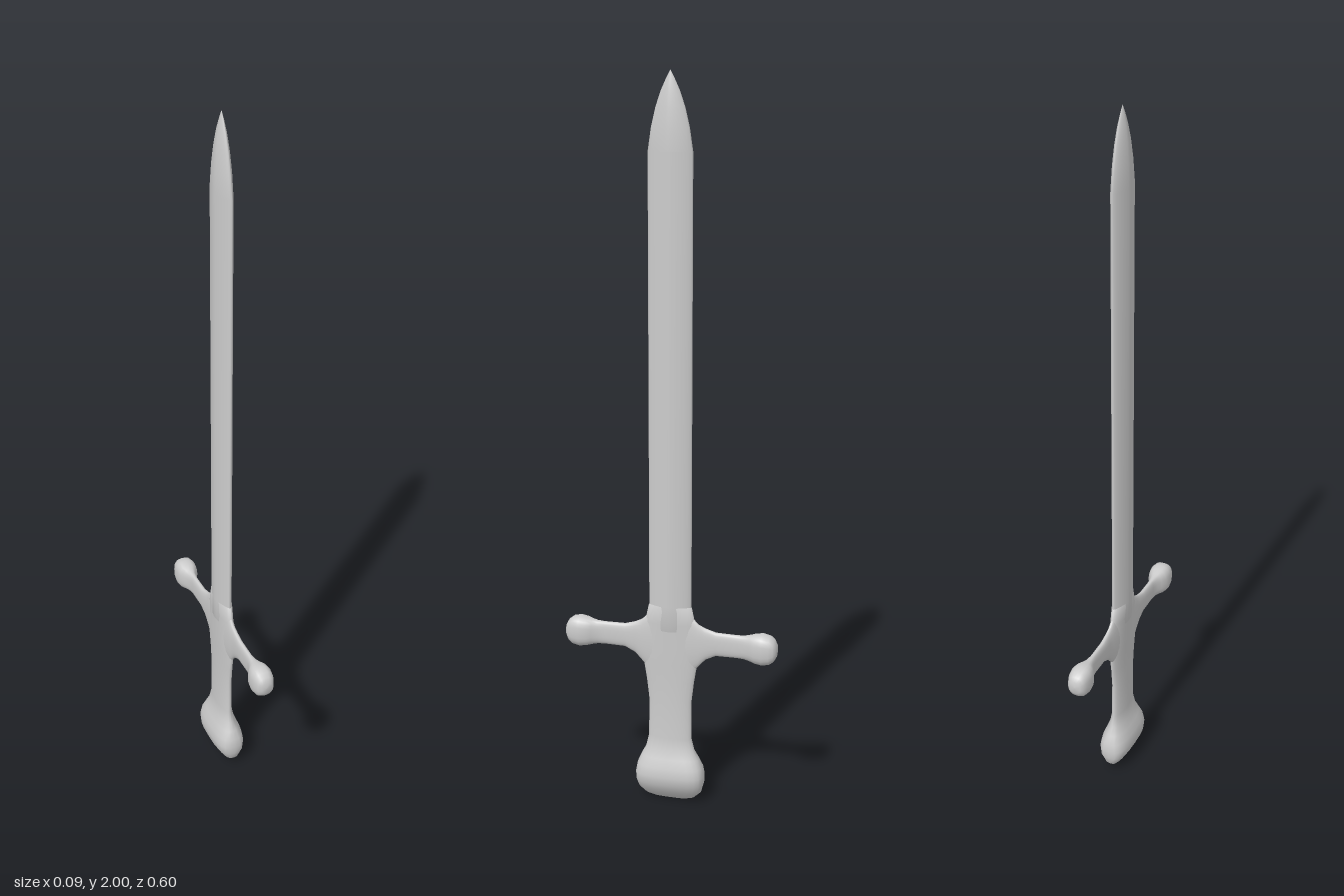
import * as THREE from 'three';

const material = new THREE.MeshStandardMaterial({ color: 0xcccccc });
const SIDES = 24;

// Smooth skin over rings; place(ring, u, v) maps a unit superellipse point to space.
function loft(name, rings, place) {
  const positions = [], index = [];
  const power = (t, e) => Math.sign(t) * Math.pow(Math.abs(t), e);
  rings.forEach((ring, i) => {
    const e = 2 / ring[3];
    for (let j = 0; j < SIDES; j++) {
      const a = (j / SIDES) * Math.PI * 2;
      positions.push(...place(ring, power(Math.cos(a), e), power(Math.sin(a), e)));
      if (i === rings.length - 1) continue;
      const k = (j + 1) % SIDES, p = i * SIDES, q = p + SIDES;
      index.push(p + j, p + k, q + k, p + j, q + k, q + j);
    }
  });
  const geometry = new THREE.BufferGeometry();
  geometry.setAttribute('position', new THREE.Float32BufferAttribute(positions, 3));
  geometry.setIndex(index);
  geometry.computeVertexNormals();
  const mesh = new THREE.Mesh(geometry, material);
  mesh.name = name;
  return mesh;
}

// Rings along the height: [y, half thickness x, half width z, roundness]
const alongY = ([y, hx, hz], u, v) => [hx * u, y, -hz * v];

export function createModel() {
  const group = new THREE.Group();
  group.name = 'sword';

  // Wide, wedge-bottomed pommel flowing into the grip
  group.add(loft('pommelAndGrip', [
    [0, 0, 0, 2.6], [0.002, 0.004, 0.045, 2.6], [0.01, 0.012, 0.07, 2.6],
    [0.03, 0.028, 0.09, 2.8], [0.055, 0.042, 0.097, 3], [0.08, 0.045, 0.098, 3],
    [0.105, 0.041, 0.094, 2.8], [0.13, 0.032, 0.083, 2.5], [0.155, 0.024, 0.07, 2.2],
    [0.19, 0.018, 0.062, 2], [0.3, 0.016, 0.061, 2], [0.36, 0.016, 0.068, 2],
    [0.41, 0.017, 0.076, 2], [0.45, 0.018, 0.076, 2], [0.53, 0.019, 0.072, 1.9],
    [0.58, 0.021, 0.061, 1.7], [0.6, 0, 0, 1.7],
  ], alongY));

  // Lens-shaped blade with a curved tip
  group.add(loft('blade', [
    [0.5, 0, 0, 1.5], [0.51, 0.021, 0.06, 1.5], [0.58, 0.022, 0.06, 1.5],
    [1.8, 0.022, 0.06, 1.5], [1.86, 0.02, 0.051, 1.5], [1.91, 0.016, 0.039, 1.5],
    [1.95, 0.011, 0.025, 1.5], [1.98, 0.005, 0.011, 1.5], [2, 0, 0, 1.5],
  ], alongY));

  // Crossguard half: [z, half thickness x, half height y, roundness, centre y]
  const half = [
    [0, 0.016, 0.1, 2, 0.47], [0.05, 0.014, 0.095, 2, 0.47], [0.08, 0.011, 0.062, 2.2, 0.472],
    [0.1, 0.01, 0.046, 2.4, 0.478], [0.13, 0.01, 0.034, 2.5, 0.481], [0.19, 0.01, 0.033, 2.5, 0.481],
    [0.21, 0.014, 0.034, 2.5, 0.481], [0.225, 0.021, 0.037, 2.5, 0.481],
    [0.24, 0.029, 0.041, 2.6, 0.481], [0.26, 0.032, 0.044, 2.6, 0.481],
    [0.28, 0.029, 0.04, 2.6, 0.481], [0.292, 0.024, 0.031, 2.5, 0.481],
    [0.299, 0.016, 0.018, 2.3, 0.481], [0.3, 0, 0, 2, 0.481],
  ];
  const mirrored = half.slice(1).reverse().map(([z, ...rest]) => [-z, ...rest]);
  group.add(loft('crossguard', [...mirrored, ...half],
    ([z, hx, hy, , cy], u, v) => [hx * u, cy + hy * v, z]));

  return group;
}
